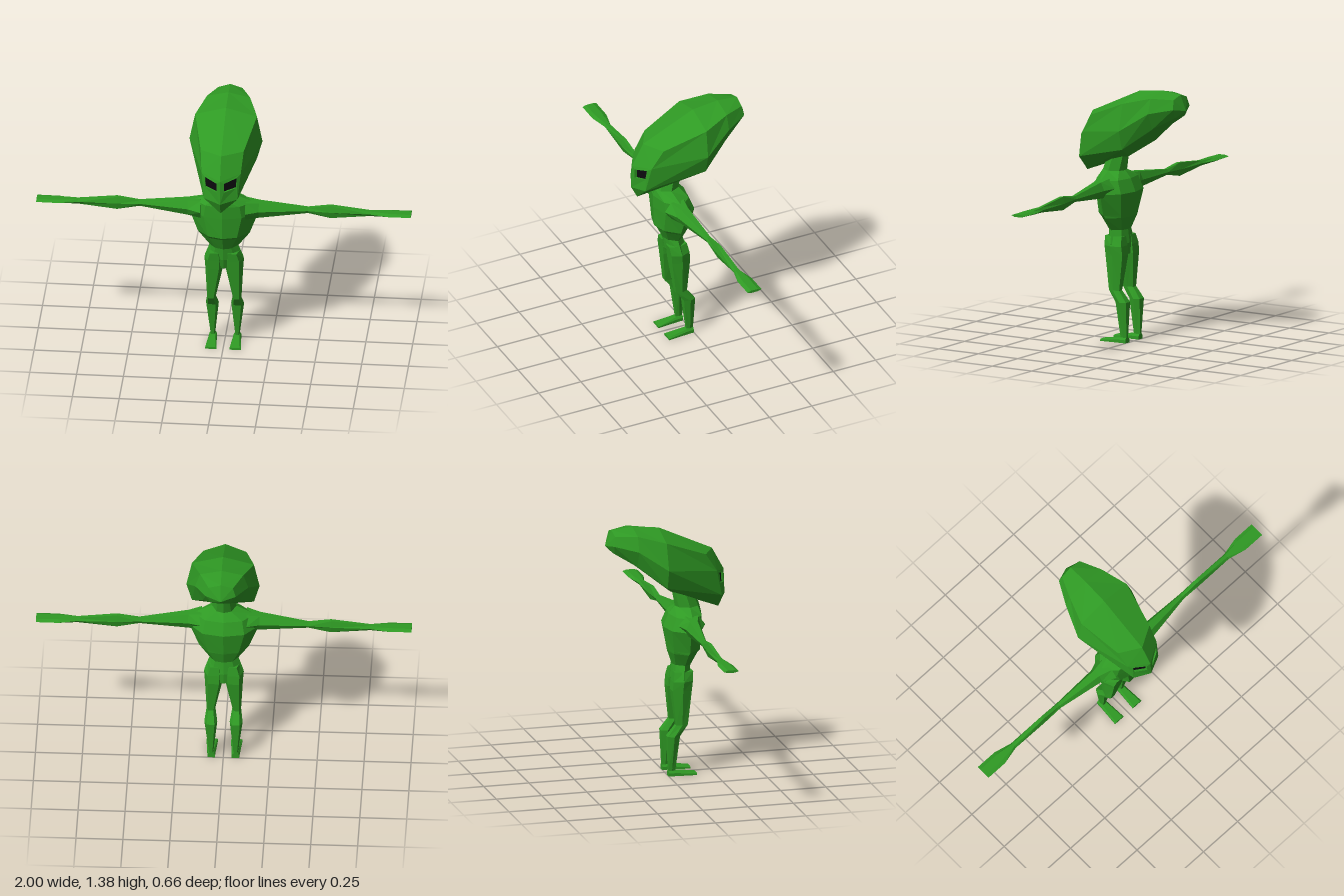
import * as THREE from 'three';

const skin = new THREE.MeshStandardMaterial({ color: 0x2f9a24 });
skin.name = 'green skin';
const black = new THREE.MeshStandardMaterial({ color: 0x0c0a0e });
black.name = 'black eye';

// Faceted mesh from a list of triangles, each made of three [x, y, z] corners
function facets(name, tris, material) {
  const g = new THREE.BufferGeometry();
  g.setAttribute('position', new THREE.Float32BufferAttribute(tris.flat(2), 3));
  g.computeVertexNormals();
  const mesh = new THREE.Mesh(g, material);
  mesh.name = name;
  return mesh;
}

const quad = (a, b, c, d) => [[a, b, c], [a, c, d]];
const flip = (p) => [-p[0], p[1], p[2]];
const mirrored = (tris) => tris.map(([a, b, c]) => [flip(a), flip(c), flip(b)]);

// Closed solid through rings of equal point count, turned outward by its volume
function loft(name, rings) {
  let tris = [];
  const n = rings[0].length;
  for (let i = 0; i + 1 < rings.length; i++) {
    for (let j = 0; j < n; j++) {
      const k = (j + 1) % n;
      tris.push(...quad(rings[i][j], rings[i][k], rings[i + 1][k], rings[i + 1][j]));
    }
  }
  const first = rings[0], last = rings[rings.length - 1];
  for (let j = 1; j + 1 < n; j++) {
    tris.push([first[0], first[j + 1], first[j]], [last[0], last[j], last[j + 1]]);
  }
  const v = (p) => new THREE.Vector3(...p);
  const volume = tris.reduce((s, [a, b, c]) => s + v(a).dot(v(b).cross(v(c))), 0);
  if (volume < 0) tris = tris.map(([a, b, c]) => [a, c, b]);
  return facets(name, tris, skin);
}

// Horizontal body ring: height, half width, front z, back z
function bodyRing([y, w, f, b]) {
  const d = f - b;
  const half = [[0.55 * w, y, f - 0.12 * d], [w, y, b + 0.5 * d], [0.6 * w, y, b + 0.1 * d]];
  return [[0, y, f], ...half, [0, y, b], ...half.slice().reverse().map(flip)];
}

// Horizontal leg ring: height, inner x, outer x, front z, back z
function legRing([y, x0, x1, f, b], side) {
  const m = (x0 + x1) / 2, q = (x1 - x0) * 0.3, c = (f + b) / 2;
  return [[m - q, f], [m + q, f], [x1, c], [m + q, b], [m - q, b], [x0, c]]
    .map(([x, z]) => [side * x, y, z]);
}

// Upright arm ring: x, bottom y, top y, back z, front z
function armRing([x, y0, y1, b, f], side) {
  const m = (y0 + y1) / 2, c = (b + f) / 2, q = (f - b) * 0.25;
  return [[y1, c - q], [y1, c + q], [m, f], [y0, c + q], [y0, c - q], [m, b]]
    .map(([y, z]) => [side * x, y, z]);
}

function createHead() {
  const head = new THREE.Group();
  head.name = 'head';

  // Skull half sections from back to front, each from crown to underside
  const sections = [
    [[0, 1.365, -0.295], [0.065, 1.345, -0.292], [0.08, 1.295, -0.3], [0.05, 1.245, -0.29], [0, 1.24, -0.29]],
    [[0, 1.376, -0.18], [0.115, 1.35, -0.18], [0.142, 1.27, -0.18], [0.1, 1.18, -0.18], [0, 1.17, -0.18]],
    [[0, 1.36, -0.035], [0.165, 1.315, -0.035], [0.195, 1.17, -0.03], [0.165, 1.065, -0.03], [0, 1.0, 0.03]],
    [[0, 1.225, 0.26], [0.115, 1.225, 0.195], [0.105, 1.125, 0.26], [0.09, 0.985, 0.29], [0, 0.9, 0.295]],
  ];
  const tris = [];
  const tip = [0, 1.28, -0.33];
  for (let j = 0; j < 4; j++) {
    tris.push([tip, sections[0][j], sections[0][j + 1]]);
    for (let i = 0; i < 3; i++) {
      tris.push(...quad(sections[i][j], sections[i + 1][j], sections[i + 1][j + 1], sections[i][j + 1]));
    }
  }

  // Forehead and chin
  const [crown, temple, brow, jaw, chin] = sections[3];
  const bridge = [0, 1.105, 0.325], mouth = [0, 0.97, 0.33];
  tris.push(...quad(crown, bridge, brow, temple), [jaw, mouth, chin]);

  // Cheek frame and sunken socket around the eye
  const cheek = [brow, bridge, mouth, jaw];
  const rim = [[0.085, 1.108, 0.279], [0.02, 1.091, 0.319], [0.02, 1.04, 0.321], [0.08, 1.05, 0.286]];
  const floor = rim.map(([x, y, z]) => [x, y, z - 0.014]);
  for (let i = 0; i < 4; i++) {
    const k = (i + 1) % 4;
    tris.push(...quad(cheek[i], cheek[k], rim[k], rim[i]));
    tris.push(...quad(rim[i], rim[k], floor[k], floor[i]));
  }
  head.add(facets('skull', [...tris, ...mirrored(tris)], skin));

  const eye = quad(...floor);
  head.add(facets('leftEye', eye, black), facets('rightEye', mirrored(eye), black));
  return head;
}

export function createModel() {
  const model = new THREE.Group();
  model.name = 'alien';
  model.add(createHead());

  // Neck, chest and waist, with a small ledge under the belly
  model.add(loft('torso', [
    [1.03, 0.045, 0.15, 0.035], [0.92, 0.065, 0.19, 0.055], [0.88, 0.165, 0.2, 0.02],
    [0.81, 0.185, 0.2, -0.01], [0.69, 0.14, 0.195, 0.01], [0.675, 0.132, 0.18, 0.013],
    [0.6, 0.075, 0.143, 0.038],
  ].map(bodyRing)));
  model.add(loft('pelvis', [
    [0.61, 0.075, 0.143, 0.038], [0.53, 0.104, 0.133, 0.027], [0.47, 0.06, 0.115, 0.03],
  ].map(bodyRing)));

  for (const [label, side] of [['left', 1], ['right', -1]]) {
    // Arm widening into the forearm, ending in a flat hand
    model.add(loft(label + 'Arm', [
      [0.12, 0.79, 0.89, 0.04, 0.19], [0.19, 0.793, 0.88, 0.065, 0.15],
      [0.45, 0.818, 0.849, 0.073, 0.107], [0.57, 0.793, 0.866, 0.07, 0.108],
      [0.78, 0.815, 0.842, 0.07, 0.106], [0.88, 0.82, 0.84, 0.047, 0.13],
      [1.0, 0.824, 0.838, 0.047, 0.13],
    ].map((r) => armRing(r, side))));

    // Leg with a backward bent knee
    model.add(loft(label + 'Leg', [
      [0.57, 0.01, 0.085, 0.138, 0.035], [0.52, 0.0, 0.106, 0.132, 0.026],
      [0.47, 0.004, 0.102, 0.127, 0.021], [0.28, 0.045, 0.092, 0.105, 0.04],
      [0.22, 0.033, 0.102, 0.06, -0.006], [0.03, 0.053, 0.078, 0.038, 0.0],
      [0.005, 0.053, 0.078, 0.038, 0.002],
    ].map((r) => legRing(r, side))));

    // Flat foot: z, inner x, outer x, top y
    model.add(loft(label + 'Foot', [
      [0.0, 0.045, 0.085, 0.028], [0.04, 0.043, 0.087, 0.028], [0.152, 0.034, 0.096, 0.012],
    ].map(([z, x0, x1, y]) =>
      [[x0, 0], [x1, 0], [x1, y * 0.6], [x1 - 0.008, y], [x0 + 0.008, y], [x0, y * 0.6]]
        .map(([x, h]) => [side * x, h, z]))));
  }
  return model;
}
